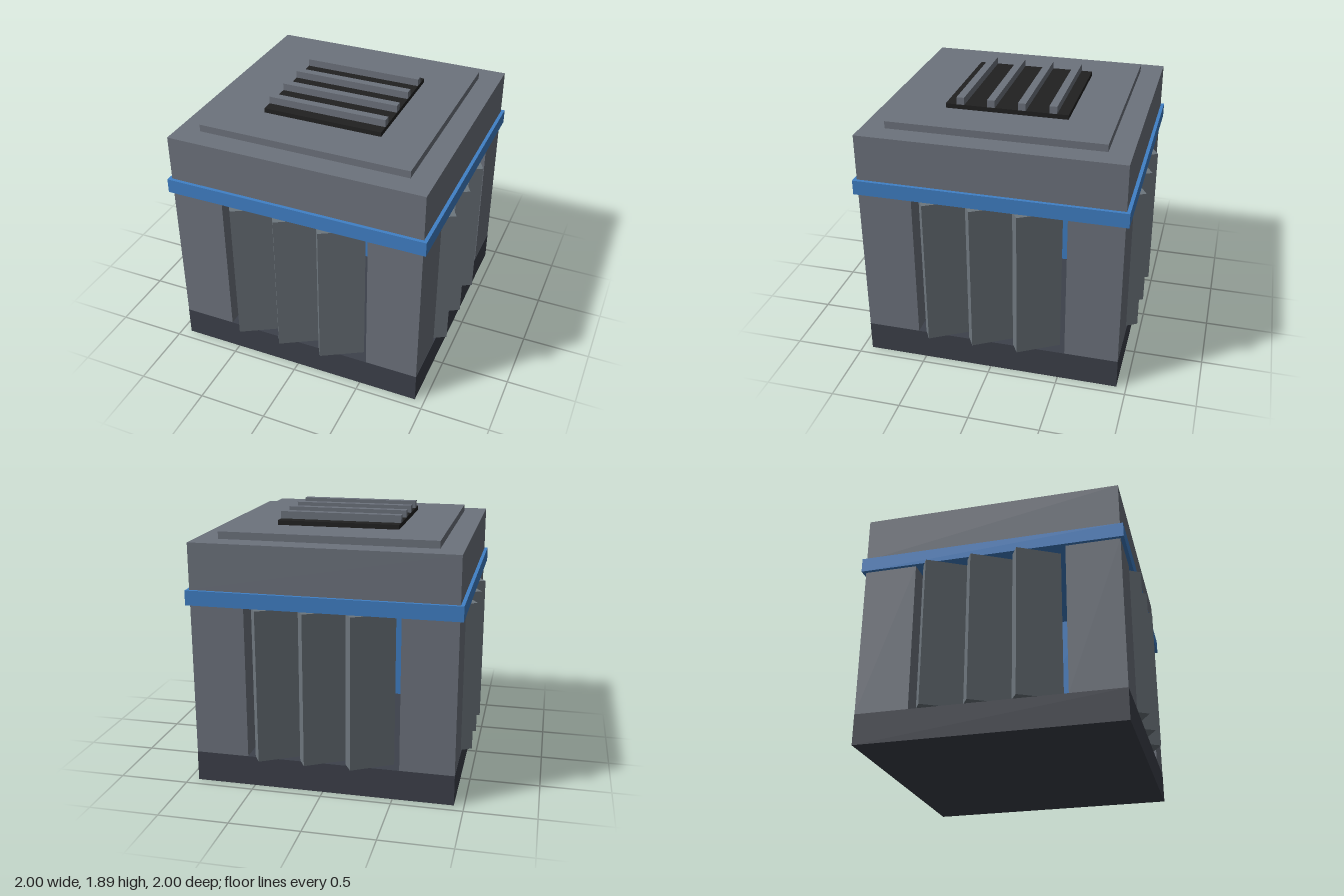
import * as THREE from 'three';

const mat = (name, color) => new THREE.MeshStandardMaterial({ name, color });

export function createModel() {
  const model = new THREE.Group();
  const grey = mat('panelGrey', 0x6d737d);
  const finGrey = mat('finGrey', 0x6d767d);
  const dark = mat('baseCharcoal', 0x3d414b);
  const blue = mat('accentBlue', 0x4080c6);
  const black = mat('ventBlack', 0x212121);

  // Box spanning heights y0 to y1, centred at x, z
  const box = (name, material, w, d, y0, y1, x = 0, z = 0, parent = model) => {
    const mesh = new THREE.Mesh(new THREE.BoxGeometry(w, y1 - y0, d), material);
    mesh.name = name;
    mesh.position.set(x, (y0 + y1) / 2, z);
    parent.add(mesh);
    return mesh;
  };

  // Base slab and corner pillars
  box('base', dark, 1.86, 1.86, 0, 0.22);
  for (const x of [-1, 1]) {
    for (const z of [-1, 1]) {
      box('cornerPillar', grey, 0.383, 0.383, 0.22, 1.32, x * 0.7375, z * 0.7375);
    }
  }

  // Crossed inner core blades
  box('coreBlade', blue, 1.12, 0.07, 0.44, 1.205);
  for (const s of [-1, 1]) {
    box('coreBlade', blue, 0.07, 0.525, 0.44, 1.205, 0, s * 0.2975);
  }

  // Three angled louvre fins on each side
  for (let side = 0; side < 4; side++) {
    const louvre = new THREE.Group();
    louvre.name = 'louvreSide';
    louvre.rotation.y = side * Math.PI / 2;
    for (const x of [-0.33, 0, 0.33]) {
      const fin = box('louvreFin', finGrey, 0.324, 0.1, 0.22, 1.318, x, 0.876, louvre);
      fin.rotation.y = Math.PI / 6;
    }
    model.add(louvre);
  }

  // Accent band, head block and raised lid
  box('accentBand', blue, 1.91, 1.91, 1.32, 1.425);
  box('headBlock', grey, 1.86, 1.86, 1.425, 1.755);
  box('lidPlate', grey, 1.535, 1.535, 1.755, 1.807);

  // Roof vent with four slats
  box('ventPlate', black, 0.875, 0.875, 1.807, 1.84);
  for (const z of [-0.33, -0.11, 0.11, 0.33]) {
    box('ventSlat', grey, 0.875, 0.055, 1.84, 1.893, 0, z);
  }

  return model;
}
